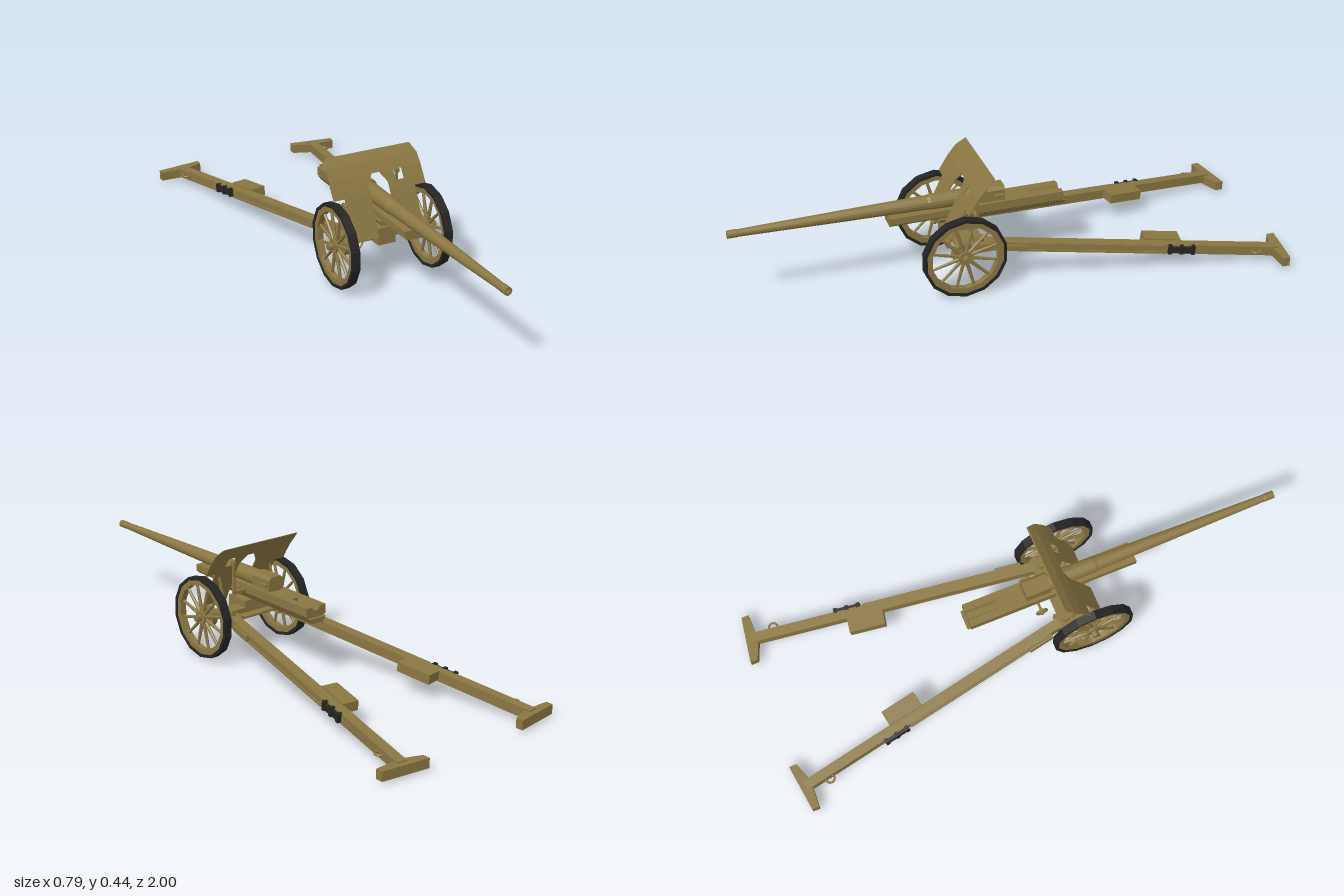
import * as THREE from 'three';

export function createModel() {
  const khaki = new THREE.MeshStandardMaterial({ color: 0x8a7642, flatShading: true });
  khaki.name = 'khaki paint';
  const black = new THREE.MeshStandardMaterial({ color: 0x242424, flatShading: true });
  black.name = 'black rubber';
  const root = new THREE.Group();
  root.name = 'fieldGun';

  const add = (parent, name, geo, mat = khaki) => {
    const m = new THREE.Mesh(geo, mat);
    m.name = name;
    parent.add(m);
    return m;
  };
  const box = (parent, name, w, h, d, x, y, z, mat) => {
    const m = add(parent, name, new THREE.BoxGeometry(w, h, d), mat);
    m.position.set(x, y, z);
    return m;
  };
  // cylinder lying along x
  const cylX = (parent, name, r, len, x, y, z, mat, seg = 14) => {
    const m = add(parent, name, new THREE.CylinderGeometry(r, r, len, seg).rotateZ(Math.PI / 2), mat);
    m.position.set(x, y, z);
    return m;
  };
  const group = (parent, name) => {
    const g = new THREE.Group();
    g.name = name;
    parent.add(g);
    return g;
  };
  // square beam whose local +z runs from a to b
  const beam = (parent, name, a, b, w, h) => {
    const A = new THREE.Vector3(...a), B = new THREE.Vector3(...b);
    const m = add(parent, name, new THREE.BoxGeometry(w, h, A.distanceTo(B)));
    m.position.copy(A).lerp(B, 0.5);
    m.lookAt(B);
    return m;
  };
  const extrudeZ = (pts, z0, z1) => {
    const s = new THREE.Shape(pts.map(p => new THREE.Vector2(...p)));
    return new THREE.ExtrudeGeometry(s, { depth: z1 - z0, bevelEnabled: false }).translate(0, 0, z0);
  };
  const handwheel = (parent, name, r) => {
    const g = group(parent, name);
    add(g, 'handwheelRim', new THREE.TorusGeometry(r, 0.0035, 6, 16));
    for (let i = 0; i < 3; i++) {
      box(g, 'handwheelSpoke', 2 * r, 0.004, 0.004, 0, 0, 0).rotation.z = i * Math.PI / 3;
    }
    add(g, 'handwheelHub', new THREE.CylinderGeometry(0.007, 0.007, 0.02, 8).rotateX(Math.PI / 2));
    return g;
  };

  // barrel with tapered tube and hollow muzzle
  const profile = [[0, 0.02], [0.031, 0.02], [0.031, 0.13], [0.029, 0.28], [0.0265, 0.29],
    [0.021, 0.6], [0.0135, 0.96], [0.0145, 0.965], [0.0145, 1], [0.007, 1], [0.007, 0.9], [0, 0.9]];
  const barrel = add(root, 'barrel', new THREE.LatheGeometry(
    profile.map(p => new THREE.Vector2(...p)), 16).rotateX(Math.PI / 2));
  barrel.position.y = 0.293;
  const c = 0.012, bw = 0.033;
  add(root, 'breechBlock', extrudeZ([[-bw, 0.26], [bw, 0.26], [bw, 0.325 - c], [bw - c, 0.325],
    [c - bw, 0.325], [-bw, 0.325 - c]], 0.005, 0.1));
  box(root, 'breechLever', 0.012, 0.01, 0.04, 0.04, 0.295, 0.03);

  // cradle: trough with raised rails and recoil housing
  add(root, 'cradle', extrudeZ([[-0.04, 0.245], [-0.03, 0.235], [0.03, 0.235], [0.04, 0.245],
    [0.04, 0.27], [-0.04, 0.27]], -0.1, 0.435));
  add(root, 'cradleTail', extrudeZ([[-0.045, 0.24], [-0.035, 0.23], [0.035, 0.23], [0.045, 0.24],
    [0.045, 0.272], [0.018, 0.272], [0.012, 0.258], [-0.012, 0.258], [-0.018, 0.272], [-0.045, 0.272]], -0.215, 0.2));
  add(root, 'recoilHousing', extrudeZ([[-0.025, 0.213], [0.025, 0.213], [0.038, 0.232], [-0.038, 0.232]], -0.225, 0.25));

  // saddle, axle and crossmember
  box(root, 'saddle', 0.07, 0.065, 0.1, 0, 0.168, 0.19);
  box(root, 'crossmember', 0.3, 0.02, 0.06, 0, 0.165, 0.17);
  box(root, 'lowerCrossPlate', 0.18, 0.008, 0.09, 0, 0.152, 0.15);
  cylX(root, 'axle', 0.011, 0.43, 0, 0.157, 0.205);
  cylX(root, 'trunnion', 0.013, 0.1, 0, 0.25, 0.17);
  handwheel(root, 'traverseHandwheel', 0.028).position.set(-0.12, 0.162, 0.23);
  const elevation = handwheel(root, 'elevationHandwheel', 0.02);
  elevation.position.set(-0.07, 0.21, 0.05);
  elevation.rotation.y = Math.PI / 2;
  beam(root, 'elevationShaft', [-0.07, 0.21, 0.05], [-0.03, 0.21, 0.05], 0.008, 0.008);
  box(root, 'sightPost', 0.008, 0.13, 0.01, 0.097, 0.305, 0.13);
  box(root, 'sightHead', 0.013, 0.015, 0.022, 0.095, 0.362, 0.135);
  beam(root, 'sightArm', [0.097, 0.25, 0.13], [0.03, 0.25, 0.13], 0.012, 0.012);

  // shield: bands follow a leaning, curved section; each row holds
  // bottom y, top y, inner x at bottom and top, outer x at bottom and top
  const lean = { 0.175: 0.255, 0.315: 0.187, 0.34: 0.172, 0.375: 0.15, 0.41: 0.121, 0.437: 0.09 };
  const shield = group(root, 'shield');
  const plate = (s, y0, y1, i0, i1, o0, o1) => {
    const g = new THREE.BoxGeometry(1, 1, 1), p = g.attributes.position;
    for (let k = 0; k < p.count; k++) {
      const top = p.getY(k) > 0, outer = p.getX(k) * s > 0, y = top ? y1 : y0;
      const x = outer ? (top ? o1 : o0) : (top ? i1 : i0);
      p.setXYZ(k, s * x, y, lean[y] + p.getZ(k) * 0.005);
    }
    g.computeVertexNormals();
    add(shield, 'shieldPlate', g);
  };
  for (const s of [-1, 1]) {
    plate(s, 0.175, 0.315, 0.04, 0.04, 0.14, 0.14);
    plate(s, 0.315, 0.34, 0.04, 0.04, 0.183, 0.183);
    if (s > 0) {
      plate(s, 0.34, 0.375, 0.04, 0.015, 0.07, 0.07);
      plate(s, 0.34, 0.375, 0.105, 0.105, 0.183, 0.183);
    } else plate(s, 0.34, 0.375, 0.04, 0.015, 0.183, 0.183);
    plate(s, 0.375, 0.41, 0, 0, 0.183, 0.183);
    plate(s, 0.41, 0.437, 0, 0, 0.183, 0.17);
    beam(shield, 'shieldStrut', [s * 0.12, 0.17, 0.15], [s * 0.12, 0.3, 0.188], 0.007, 0.007);
  }

  // square section ring around x
  const ring = (parent, name, r0, r1, w, mat) => {
    const pts = [[r0, -w], [r1, -w], [r1, w], [r0, w], [r0, -w]].map(p => new THREE.Vector2(...p));
    return add(parent, name, new THREE.LatheGeometry(pts, 14, Math.PI / 2).rotateZ(Math.PI / 2), mat);
  };
  for (const s of [-1, 1]) {
    // wheel
    const wheel = group(root, s > 0 ? 'leftWheel' : 'rightWheel');
    wheel.position.set(s * 0.184, 0.155, 0.205);
    ring(wheel, 'tire', 0.144, 0.155, 0.0155, black);
    ring(wheel, 'felloe', 0.124, 0.146, 0.012);
    for (let i = 0; i < 12; i++) {
      const spoke = add(wheel, 'spoke', new THREE.CylinderGeometry(0.005, 0.0075, 0.11, 6).translate(0, 0.075, 0));
      spoke.rotation.x = (i + 0.5) * Math.PI / 6;
    }
    cylX(wheel, 'hub', 0.026, 0.026, 0, 0, 0);
    cylX(wheel, 'hubCap', 0.012, 0.03, s * 0.018, 0, 0);
    cylX(wheel, 'brakeDrum', 0.04, 0.024, -s * 0.027, 0, 0);

    // trail leg
    const trail = group(root, s > 0 ? 'leftTrail' : 'rightTrail');
    const a = [s * 0.118, 0.153, 0.1], b = [s * 0.302, 0.031, -0.965];
    const at = (t, dx = 0, dy = 0) => [a[0] + (b[0] - a[0]) * t + s * dx, a[1] + (b[1] - a[1]) * t + dy, a[2] + (b[2] - a[2]) * t];
    beam(trail, 'trailBeam', a, b, 0.037, 0.036);
    for (const dy of [-0.013, 0.013]) beam(trail, 'trailFlange', at(0.05, 0.02, dy), at(0.6, 0.02, dy), 0.008, 0.007);
    beam(trail, 'trailRod', at(0.04, 0.026, 0), at(0.13, 0.026, 0), 0.014, 0.02);
    box(trail, 'trailHinge', 0.065, 0.03, 0.06, s * 0.115, 0.153, 0.12);
    add(trail, 'hingePin', new THREE.CylinderGeometry(0.014, 0.014, 0.06, 10)).position.set(s * 0.112, 0.156, 0.125);

    // stowage box on the inner side
    beam(trail, 'stowageBox', at(0.545, -0.047, 0.006), at(0.67, -0.047, 0.006), 0.06, 0.036);

    // dark tool strapped to the outer side
    const tool = beam(trail, 'toolHandle', at(0.61, 0.025, 0.002), at(0.7, 0.025, 0.002), 0.012, 0.022);
    tool.material = black;
    for (const t of [0.615, 0.655, 0.695]) {
      const clamp = beam(trail, 'toolClamp', at(t - 0.006, 0.024, 0.003), at(t + 0.006, 0.024, 0.003), 0.018, 0.033);
      clamp.material = black;
    }

    // lifting ring
    const lift = add(trail, 'liftingRing', new THREE.TorusGeometry(0.016, 0.004, 6, 14).rotateX(Math.PI / 2));
    lift.position.set(s * 0.312, 0.045, -0.877);

    // spade: plan outline raised to a low block
    const plan = [[0.215, -0.972], [0.215, -1], [0.393, -0.975], [0.393, -0.948], [0.285, -0.945]];
    const spade = extrudeZ(plan.map(([x, z]) => [s * x, -z]), 0.01, 0.045).rotateX(-Math.PI / 2);
    add(trail, 'spade', spade);
  }
  return root;
}
